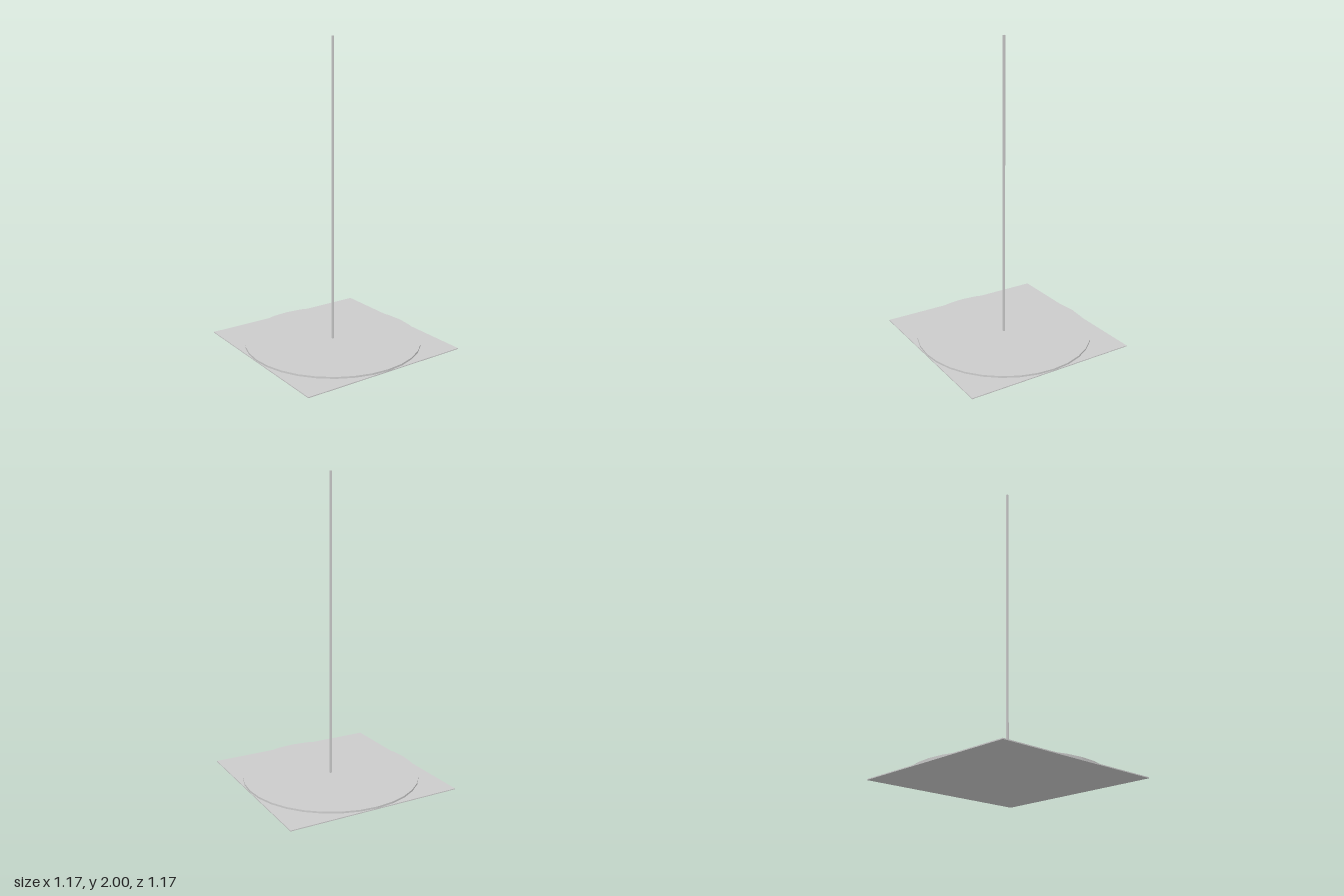
import * as THREE from 'three';

export function createModel() {
  const group = new THREE.Group();
  const material = new THREE.MeshStandardMaterial({ color: 0xcccccc, flatShading: true });

  const width = 1.172;
  const plateHeight = 0.006;
  const discHeight = 0.012;
  const poleWidth = 0.012;
  const discTop = plateHeight + discHeight;

  // Adds a part whose underside rests at the given height
  const add = (name, geometry, bottom, height) => {
    const mesh = new THREE.Mesh(geometry, material);
    mesh.name = name;
    mesh.position.y = bottom + height / 2;
    group.add(mesh);
  };

  // Thin square plate on the ground
  add('basePlate', new THREE.BoxGeometry(width, plateHeight, width), 0, plateHeight);

  // Faceted disc reaching the plate's edges
  add('baseDisc', new THREE.CylinderGeometry(width / 2, width / 2, discHeight, 32), plateHeight, discHeight);

  // Slender square pole standing in the centre
  const poleHeight = 2 - discTop;
  add('pole', new THREE.BoxGeometry(poleWidth, poleHeight, poleWidth), discTop, poleHeight);

  return group;
}
